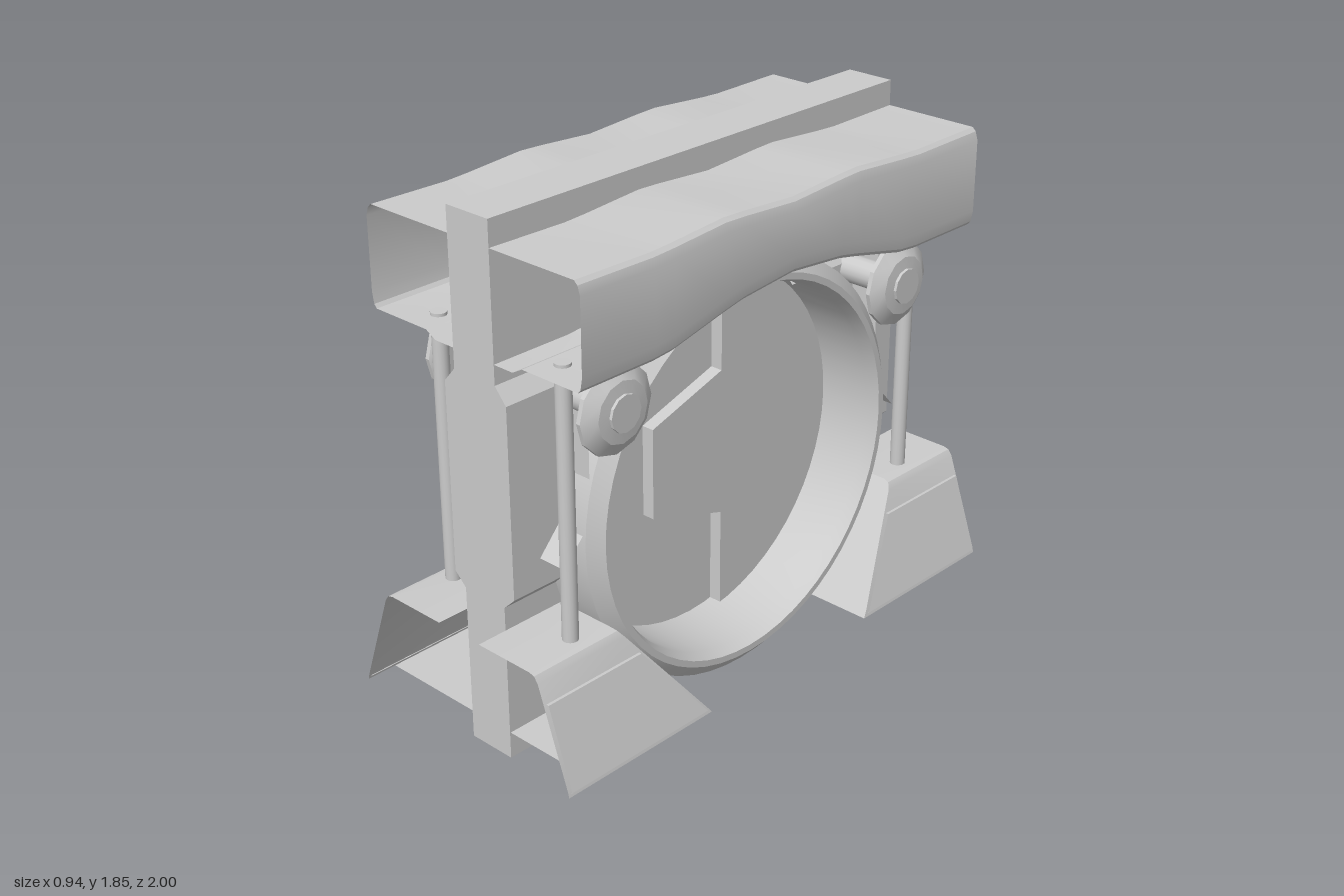
import * as THREE from 'three';
import { toCreasedNormals } from 'three/addons/utils/BufferGeometryUtils.js';

const CY = 0.795; // height of the ring centre
const SIDES = [1, -1];

export function createModel() {
  const model = new THREE.Group();
  const solid = new THREE.MeshStandardMaterial({ color: 0xcccccc });
  const sheet = new THREE.MeshStandardMaterial({ color: 0xcccccc, side: THREE.DoubleSide });

  function add(name, geometry, material = solid) {
    const mesh = new THREE.Mesh(geometry, material);
    mesh.name = name;
    model.add(mesh);
    return mesh;
  }

  // Surface through equal-length rows of [x, y, z] points
  function loft(rows) {
    const n = rows[0].length;
    const index = [];
    for (let r = 0; r < rows.length - 1; r++) {
      for (let i = 0; i < n - 1; i++) {
        const a = r * n + i, b = a + n;
        index.push(a, b, a + 1, b, b + 1, a + 1);
      }
    }
    const g = new THREE.BufferGeometry();
    g.setAttribute('position', new THREE.Float32BufferAttribute(rows.flat(2), 3));
    g.setIndex(index);
    return toCreasedNormals(g, 0.35);
  }

  // Extrude a shape drawn in (z, y) across x from x0 to x1
  function slab(shape, x0, x1) {
    const g = new THREE.ExtrudeGeometry(shape, { depth: x1 - x0, bevelEnabled: false, curveSegments: 48 });
    g.rotateY(-Math.PI / 2);
    return g.translate(x1, 0, 0);
  }

  // Lathe around the x axis from [radius, x] points
  function turned(points, segments, crease = 0.5) {
    const g = new THREE.LatheGeometry(points.map(([r, x]) => new THREE.Vector2(r, x)), segments);
    g.rotateZ(-Math.PI / 2);
    return toCreasedNormals(g, crease);
  }

  const polygon = (pts) => new THREE.Shape(pts.map(([x, y]) => new THREE.Vector2(x, y)));

  // Central frame with a round opening
  const frame = polygon([[-0.89, 0.065], [0.89, 0.065], [0.89, 1.847], [-0.89, 1.847]]);
  frame.holes.push(new THREE.Path().absarc(0, CY, 0.66, 0, Math.PI * 2, true));
  add('centralFrame', slab(frame, -0.087, 0.087));

  // Ring collar
  const rim = [[0.622, 0], [0.622, 0.25], [0.638, 0.29], [0.66, 0.29], [0.705, 0.25]];
  const ringProfile = [...rim, ...rim.slice().reverse().map(([r, x]) => [r, -x]), rim[0]];
  add('ring', turned(ringProfile, 56), sheet).position.y = CY;

  // Two interlocking doors, one raised with a nose
  const R = 0.63;
  add('baseDoor', slab(new THREE.Shape().absarc(0, CY, R, 0, Math.PI * 2), -0.015, 0.015));
  const a = Math.acos(-0.1 / R);
  const door = new THREE.Shape();
  door.moveTo(-0.1, CY + R * Math.sin(a));
  for (const [z, y] of [[-0.1, 1.05], [0.22, 0.95], [0.22, 0.63], [-0.1, 0.53]]) door.lineTo(z, y);
  door.absarc(0, CY, R, -a, a - Math.PI * 2, true);
  add('raisedDoor', slab(door, -0.06, 0.06));

  // Keel in two sections
  add('frontKeel', new THREE.BoxGeometry(0.09, 0.07, 0.82)).position.set(0, 0.035, 0.31);
  const keel = polygon([[-0.055, 0], [0.055, 0], [0.07, 0.05], [0.07, 0.07], [-0.07, 0.07], [-0.07, 0.05]]);
  add('rearKeel', new THREE.ExtrudeGeometry(keel, { depth: 0.74, bevelEnabled: false })).position.z = -0.84;

  // Wavy roof channels: [|z|, top height, floor height]
  const wave = [[0.89, 1.761, 1.43], [0.6, 1.757, 1.43], [0.52, 1.761, 1.437], [0.3, 1.777, 1.487], [0.22, 1.774, 1.503], [0, 1.76, 1.523]];
  const stations = [
    ...wave.map(([z, t, b]) => [-z, t, b]),
    ...wave.slice(0, -1).reverse(),
  ];
  for (const sx of SIDES) {
    add('roofChannel', loft(stations.map(([z, t, b]) => [
      [0.085, t], [0.425, t], [0.438, t - 0.012], [0.447, t - 0.04],
      [0.447, b + 0.05], [0.44, b + 0.012], [0.43, b],
      [0.205, b], [0.165, b - 0.022], [0.085, b - 0.022],
    ].map(([x, y]) => [sx * x, y, z]))), sheet);
  }

  // Inner end of a foot hood slopes with height
  const endZ = (y) => 0.38 + (y - 0.16) * 0.76;
  const hood = [[0.09, 0.53], [0.31, 0.53], [0.33, 0.525], [0.345, 0.505], [0.46, 0.18], [0.465, 0.16]];

  for (const sx of SIDES) {
    for (const sz of SIDES) {
      // Thicker side panel of the frame, with sloped top and bottom
      const panel = polygon([[sz * 0.89, 0.6], [sz * 0.89, 1.35]]);
      for (let i = 0; i <= 12; i++) {
        const y = 1.35 - i * 0.0625;
        panel.lineTo(sz * Math.sqrt(0.66 ** 2 - (y - CY) ** 2), y);
      }
      const g = sx > 0 ? slab(panel, 0.08, 0.132) : slab(panel, -0.132, -0.08);
      const p = g.attributes.position;
      for (let i = 0; i < p.count; i++) {
        if (Math.abs(p.getX(i)) > 0.12) p.setY(i, THREE.MathUtils.clamp(p.getY(i), 0.65, 1.29));
      }
      g.computeVertexNormals();
      add('sidePanel', g);

      // Foot hood: open outer end, sloped inner wall, floor stopping short of the opening
      add('footHood', loft([
        hood.map(([x, y]) => [sx * x, y, sz]),
        hood.map(([x, y]) => [sx * x, y, sz * endZ(y)]),
        hood.map(([x]) => [sx * x, 0.16, sz * endZ(0.16)]),
        hood.map(([x]) => [sx * x, 0.16, sz * 0.89]),
      ]), sheet);
      const flap = [[0.368, 0.44], [0.378, 0.44], [0.468, 0.175], [0.46, 0.17]];
      add('footFlap', loft([
        flap.map(([x, y]) => [sx * x, y, sz * 0.99]),
        flap.map(([x, y]) => [sx * x, y, sz * (endZ(y) + 0.01)]),
      ]), sheet);

      // Upright rod between foot and roof
      add('rod', new THREE.CylinderGeometry(0.026, 0.026, 0.93, 16)).position.set(sx * 0.265, 0.975, sz * 0.79);

      // Bent bracket sheet beside the ring
      add('bracket', loft([[1.4, 0.78], [1.34, 0.67], [0.87, 0.67], [0.75, 0.78]].map(
        ([y, z]) => [[sx * 0.08, y, sz * z], [sx * 0.237, y, sz * z]])), sheet);

      // Roller and its axle
      const axle = add('axle', new THREE.CylinderGeometry(0.048, 0.048, 0.24, 16).rotateZ(Math.PI / 2));
      axle.position.set(sx * 0.2, 1.265, sz * 0.65);
      const roller = add('roller', turned([
        [0, 0.305], [0.125, 0.305], [0.145, 0.318], [0.145, 0.333],
        [0.1, 0.362], [0.06, 0.366], [0.06, 0.376], [0, 0.376],
      ], 12, 0.45), sheet);
      roller.position.set(0, 1.265, sz * 0.65);
      if (sx < 0) roller.rotation.y = Math.PI;
    }
  }
  return model;
}
